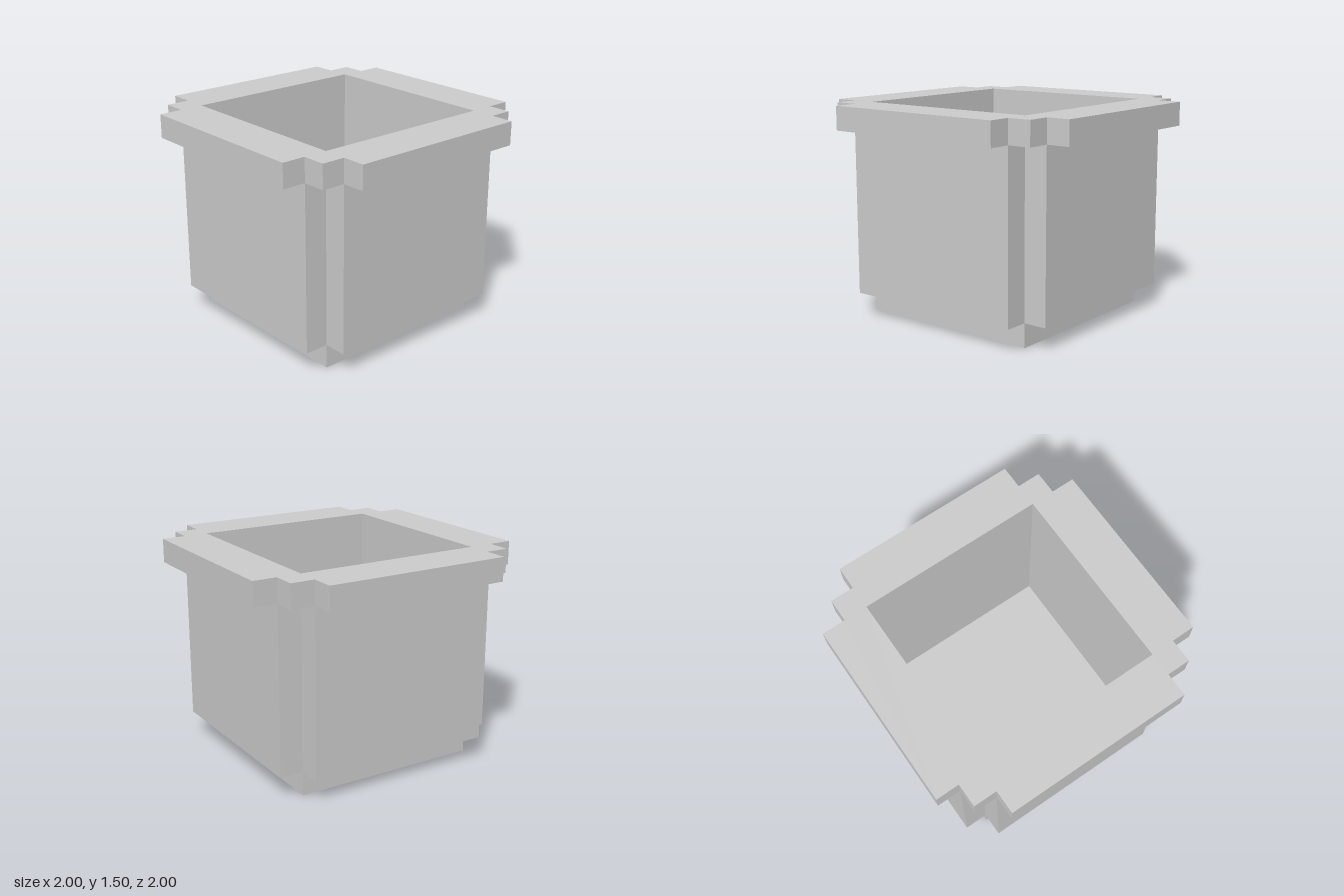
import * as THREE from 'three';

const U = 1 / 6; // block unit

export function createModel() {
  const group = new THREE.Group();
  const material = new THREE.MeshStandardMaterial({ color: 0xcccccc, flatShading: true });

  const add = (name, geometry, x = 0, y = 0, z = 0) => {
    const mesh = new THREE.Mesh(geometry, material);
    mesh.name = name;
    mesh.position.set(x * U, y * U, z * U);
    group.add(mesh);
  };

  // Base slab; its top is the floor of the pot
  add('base', new THREE.BoxGeometry(8 * U, U, 8 * U), 0, 0.5, 0);

  // Four wall slabs around the floor, leaving the corners notched
  const sideWall = new THREE.BoxGeometry(U, 7 * U, 8 * U);
  const endWall = new THREE.BoxGeometry(8 * U, 7 * U, U);
  add('leftWall', sideWall, 4.5, 4.5, 0);
  add('rightWall', sideWall, -4.5, 4.5, 0);
  add('frontWall', endWall, 0, 4.5, 4.5);
  add('backWall', endWall, 0, 4.5, -4.5);

  // Rim with stepped corners: one corner's steps turned through four quarters
  const corner = [[6, 4], [5, 4], [5, 5], [4, 5], [4, 6]];
  const outline = [];
  for (let q = 0; q < 4; q++) {
    for (const [x, y] of corner) {
      outline.push(new THREE.Vector2(x * U, y * U).rotateAround(new THREE.Vector2(), q * Math.PI / 2));
    }
  }
  const rimShape = new THREE.Shape(outline);
  const opening = [[-4, -4], [-4, 4], [4, 4], [4, -4]];
  rimShape.holes.push(new THREE.Path(opening.map(([x, y]) => new THREE.Vector2(x * U, y * U))));
  const rim = new THREE.ExtrudeGeometry(rimShape, { depth: U, bevelEnabled: false });
  rim.rotateX(-Math.PI / 2);
  add('rim', rim, 0, 8, 0);

  return group;
}
